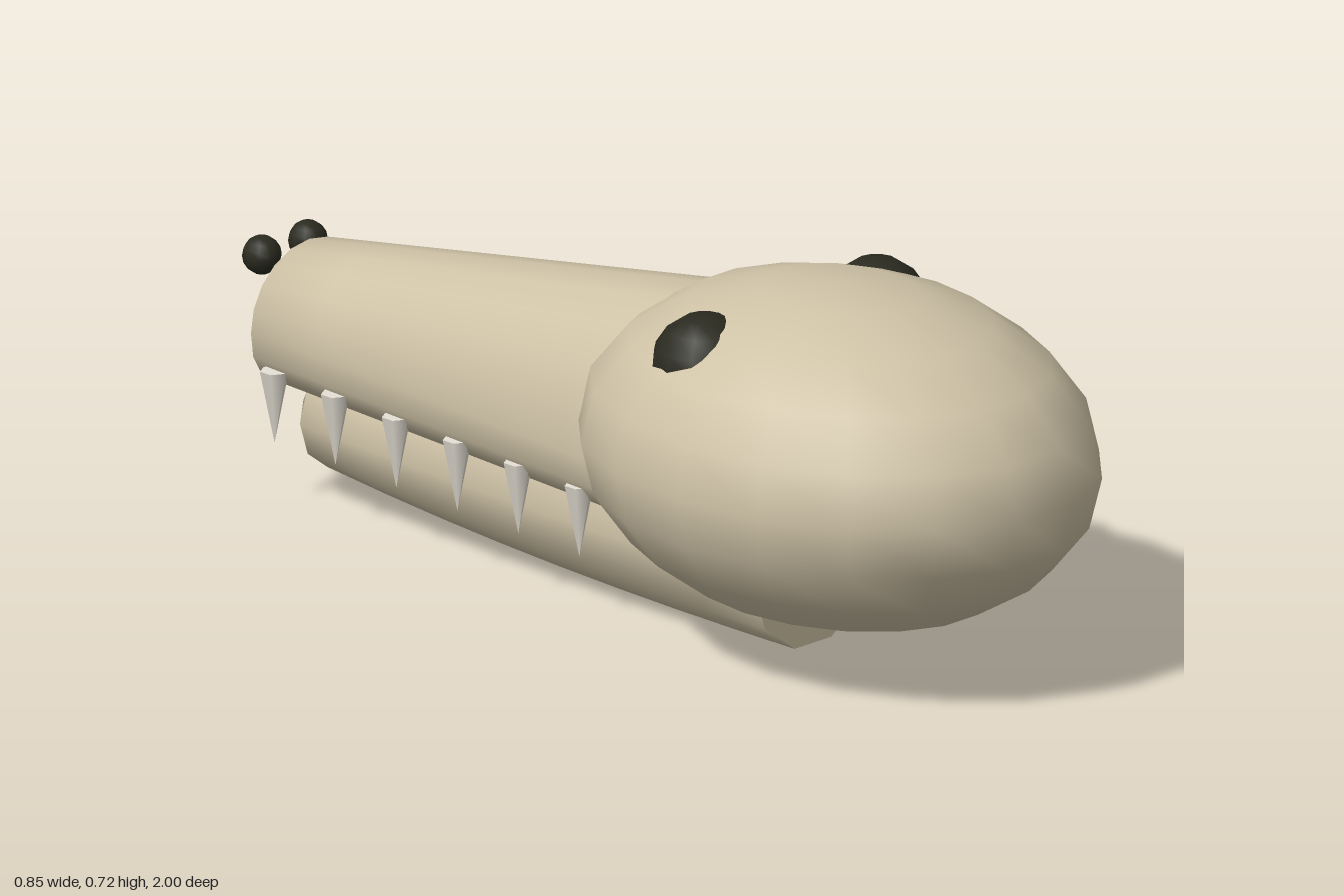
import * as THREE from 'three';

const mat = (name, color) => {
  const m = new THREE.MeshStandardMaterial({ color });
  m.name = name;
  return m;
};

// Skin of rings running towards -z: flat cap at the back, point at the front.
// ring(t) gives { z, points: [[x, y], ...] }, counterclockwise seen from +z.
function loft(ring, steps, tip) {
  const pos = [], index = [];
  let n = 0;
  for (let r = 0; r <= steps; r++) {
    const { z, points } = ring(r / steps);
    n = points.length;
    for (const [x, y] of points) pos.push(x, y, z);
  }
  const apex = pos.length / 3;
  pos.push(...tip);
  const cap = apex + 1;
  const back = ring(0);
  for (const [x, y] of back.points) pos.push(x, y, back.z);
  for (let i = 0; i < n; i++) {
    const j = (i + 1) % n;
    for (let r = 0; r < steps; r++) {
      const a = r * n, b = a + n;
      index.push(a + i, b + i, a + j, b + i, b + j, a + j);
    }
    index.push(steps * n + i, apex, steps * n + j);
    if (i > 0 && i < n - 1) index.push(cap, cap + i, cap + i + 1);
  }
  const g = new THREE.BufferGeometry();
  g.setAttribute('position', new THREE.Float32BufferAttribute(pos, 3));
  g.setIndex(index);
  g.computeVertexNormals();
  return g;
}

const lerp = THREE.MathUtils.lerp;

// Snout section: elliptical arch on top, fuller and shallower below
function snoutRing(t) {
  const points = [], n = 20;
  const rx = lerp(0.25, 0.152, t), cy = lerp(0.33, 0.32, t);
  const up = lerp(0.308, 0.146, t), down = lerp(0.146, 0.12, t);
  for (let i = 0; i < n; i++) {
    const a = (i / n) * Math.PI * 2, c = Math.cos(a), s = Math.sin(a);
    const p = s < 0 ? 0.8 : 1;
    points.push([
      rx * Math.sign(c) * Math.pow(Math.abs(c), p),
      cy + (s < 0 ? -down * Math.pow(-s, p) : up * s),
    ]);
  }
  return { z: lerp(0.15, -0.9, t), points };
}

// Lower jaw section: ten-sided, flat at the bottom, thinning forwards
function jawRing(t) {
  const points = [], n = 10, k = Math.pow(t, 2.3);
  for (let i = 0; i < n; i++) {
    const a = (i / n) * Math.PI * 2;
    points.push([
      lerp(0.155, 0.105, k) * Math.cos(a),
      0.152 + lerp(0.16, 0.107, k) * Math.sin(a),
    ]);
  }
  return { z: lerp(0.4, -0.82, t), points };
}

export function createModel() {
  const model = new THREE.Group();
  model.name = 'reptileSkull';
  const bone = mat('bone', 0xcec2a6);
  const dark = mat('socketDark', 0x2a2a20);
  const ivory = mat('toothIvory', 0xe6e1d6);

  const add = (name, geometry, material, x = 0, y = 0, z = 0) => {
    const mesh = new THREE.Mesh(geometry, material);
    mesh.name = name;
    mesh.position.set(x, y, z);
    model.add(mesh);
    return mesh;
  };

  // Braincase
  add('cranium', new THREE.SphereGeometry(1, 18, 10), bone, 0, 0.397, 0.47)
    .scale.set(0.425, 0.322, 0.538);

  // Jaws
  add('snout', loft(snoutRing, 6, [0, 0.32, -1]), bone);
  add('lowerJaw', loft(jawRing, 8, [0, 0.15, -0.915]), bone);

  const eye = new THREE.SphereGeometry(0.1, 12, 8);
  const nostril = new THREE.SphereGeometry(0.037, 10, 8);
  const tooth = new THREE.ConeGeometry(0.028, 0.14, 6);
  tooth.rotateX(Math.PI);

  // Paired details on both sides
  for (const [side, s] of [['left', 1], ['right', -1]]) {
    add(side + 'EyeSocket', eye, dark, s * 0.224, 0.58, 0.342);
    add(side + 'Nostril', nostril, dark, s * 0.06, 0.435, -0.963);
    for (let i = 0; i < 6; i++) {
      add(side + 'Tooth' + (i + 1), tooth, ivory, s * (0.205 - 0.0118 * i), 0.19, -0.169 * i);
    }
  }
  return model;
}
